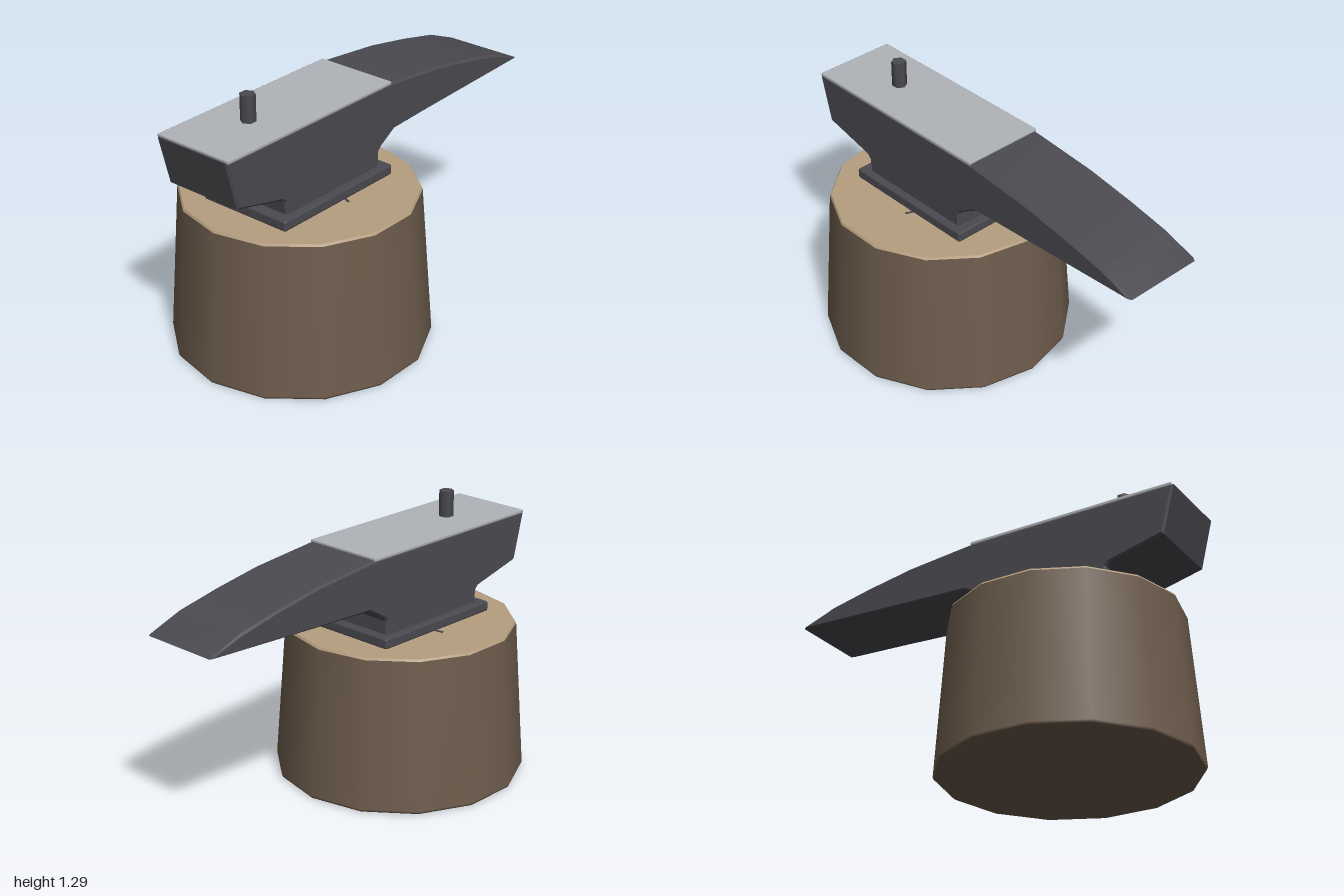
import * as THREE from 'three';
import { RoundedBoxGeometry } from 'three/addons/geometries/RoundedBoxGeometry.js';
import { toCreasedNormals } from 'three/addons/utils/BufferGeometryUtils.js';

const material = (name, color) => {
  const m = new THREE.MeshStandardMaterial({ color });
  m.name = name;
  return m;
};

export function createModel() {
  const group = new THREE.Group();
  const iron = material('darkIron', 0x4b4a50);
  const steel = material('polishedSteel', 0xb0b3b7);
  const bark = material('bark', 0x6e5d4d);
  const wood = material('cutWood', 0xb59e80);
  const V = (x, y) => new THREE.Vector2(x, y);

  const add = (name, geometry, mat, x = 0, y = 0, z = 0) => {
    const mesh = new THREE.Mesh(geometry, mat);
    mesh.name = name;
    mesh.position.set(x, y, z);
    group.add(mesh);
    return mesh;
  };

  // Fourteen-sided stump, softly shaded around the lower edge
  const stumpX = -0.348;
  const stump = [V(0, 0), V(0.59, 0.003), V(0.595, 0.015), V(0.542, 0.727)];
  add('stumpBark', new THREE.LatheGeometry(stump, 14, Math.PI / 2), bark, stumpX);
  add('stumpTop', new THREE.CylinderGeometry(0.536, 0.542, 0.01, 14, 1, false, Math.PI / 2), wood, stumpX, 0.732);

  // Crack across the cut wood, mostly hidden by the foot
  const crack = new THREE.CatmullRomCurve3([
    [-0.335, 0.738, -0.28], [-0.328, 0.738, -0.24], [-0.34, 0.738, 0],
    [-0.315, 0.738, 0.24], [-0.328, 0.738, 0.27],
  ].map((p) => new THREE.Vector3(...p)));
  add('woodCrack', new THREE.TubeGeometry(crack, 16, 0.006, 4), iron);

  // Foot plate
  add('footPlate', new RoundedBoxGeometry(0.71, 0.05, 0.475, 1, 0.01), iron, -0.35, 0.76);

  // Body with heel, waist and curved horn
  const shape = new THREE.Shape();
  shape.moveTo(-0.65, 0.775);
  shape.lineTo(-0.04, 0.775);
  shape.lineTo(-0.04, 0.85);
  shape.lineTo(-0.025, 0.868);
  shape.lineTo(0.07, 0.925);
  shape.lineTo(1, 0.967);
  shape.lineTo(0.83, 1.035);
  shape.lineTo(0.62, 1.08);
  shape.lineTo(0.38, 1.122);
  shape.lineTo(0.05, 1.155);
  shape.lineTo(-0.998, 1.155);
  shape.lineTo(-0.94, 0.925);
  shape.lineTo(-0.675, 0.86);
  shape.lineTo(-0.66, 0.845);
  shape.closePath();
  const bevel = 0.01;
  const body = new THREE.ExtrudeGeometry(shape, {
    depth: 0.4 - 2 * bevel, bevelEnabled: true, bevelThickness: bevel,
    bevelSize: bevel, bevelOffset: -bevel, bevelSegments: 1,
  });
  body.translate(0, 0, -0.2 + bevel);
  add('anvilBody', toCreasedNormals(body, 0.3), iron);

  // Polished working face
  add('workingFace', new RoundedBoxGeometry(1.03, 0.016, 0.402, 1, 0.004), steel, -0.475, 1.157);

  // Hexagonal pin standing in the face
  add('facePin', new THREE.CylinderGeometry(0.035, 0.035, 0.15, 6, 1, false, Math.PI / 2), iron, -0.66, 1.215);

  return group;
}
